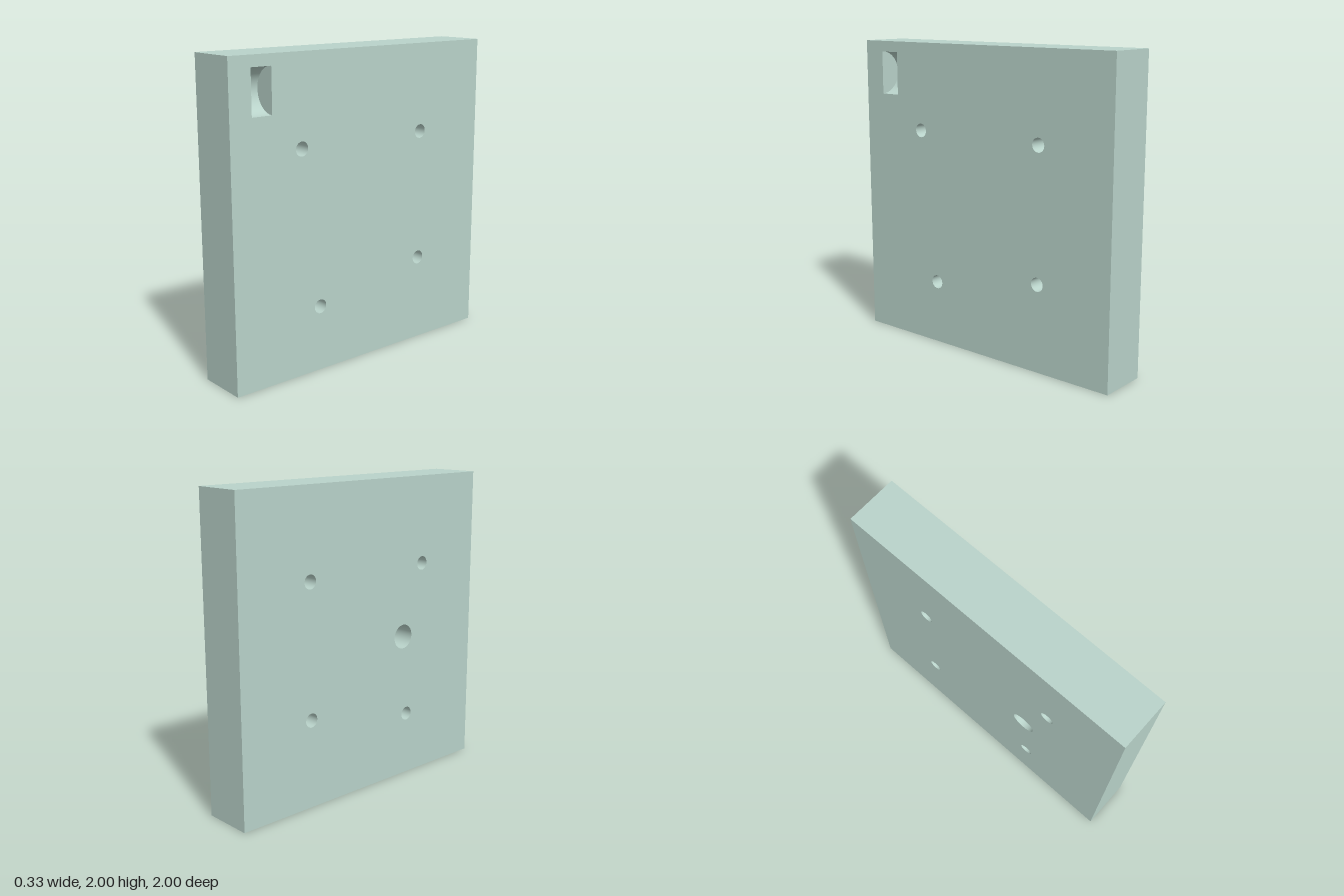
import * as THREE from 'three';

const T = 0.333;            // plate thickness
const HOLE_R = 0.045;
const HOLES = [[-0.5, 1.43], [0.47, 1.43], [0.47, 0.57], [-0.37, 0.42]];
const BORE = { x: -0.33, y: 0.96, r: 0.08, depth: 0.2 };
const SLOT = { x: -0.78, y: 1.79, r: 0.14, w: 0.14 };

export function createModel() {
  const color = 0xb9d3ca;
  const solid = new THREE.MeshStandardMaterial({ color });
  const lining = new THREE.MeshStandardMaterial({ color, side: THREE.DoubleSide });

  // The plate is drawn in the xy plane, then turned so its thickness runs along x
  const plate = new THREE.Group();
  plate.name = 'plate';
  plate.rotation.y = Math.PI / 2;

  const add = (name, geometry, material, x = 0, y = 0, z = 0) => {
    const mesh = new THREE.Mesh(geometry, material);
    mesh.name = name;
    mesh.position.set(x, y, z);
    plate.add(mesh);
    return mesh;
  };
  const rect = (Type, x0, y0, x1, y1) => new Type([
    new THREE.Vector2(x0, y0), new THREE.Vector2(x1, y0),
    new THREE.Vector2(x1, y1), new THREE.Vector2(x0, y1)]);
  const circle = (x, y, r) => new THREE.Path().absarc(x, y, r, 0, Math.PI * 2, true);
  const bolts = () => HOLES.map(([x, y]) => circle(x, y, HOLE_R));

  // Right face: bolt holes and slot opening
  const right = rect(THREE.Shape, -1, 0, 1, 2);
  right.holes.push(...bolts(), rect(THREE.Path,
    SLOT.x - SLOT.w / 2, SLOT.y - SLOT.r, SLOT.x + SLOT.w / 2, SLOT.y + SLOT.r));
  add('rightFace', new THREE.ShapeGeometry(right, 24), solid, 0, 0, T / 2);

  // Left face: bolt holes and larger blind bore, reversed to face outward
  const left = rect(THREE.Shape, -1, 0, 1, 2);
  left.holes.push(...bolts(), circle(BORE.x, BORE.y, BORE.r));
  const leftGeo = new THREE.ShapeGeometry(left, 24);
  leftGeo.setIndex(Array.from(leftGeo.index.array).reverse());
  leftGeo.computeVertexNormals();
  add('leftFace', leftGeo, solid, 0, 0, -T / 2);

  // Four outer edges as a square tube
  const rim = new THREE.CylinderGeometry(Math.SQRT2, Math.SQRT2, T, 4, 1, true, Math.PI / 4)
    .rotateX(Math.PI / 2).toNonIndexed();
  rim.computeVertexNormals();
  add('outerEdges', rim, solid, 0, 1, 0);

  // Walls of the through holes and of the blind bore
  const tube = (r, len) =>
    new THREE.CylinderGeometry(r, r, len, 48, 1, true).rotateX(Math.PI / 2);
  HOLES.forEach(([x, y]) => add('boltHole', tube(HOLE_R, T), lining, x, y));
  add('boreWall', tube(BORE.r, BORE.depth), lining, BORE.x, BORE.y, (BORE.depth - T) / 2);
  add('boreFloor', new THREE.CircleGeometry(BORE.r, 48), lining,
    BORE.x, BORE.y, BORE.depth - T / 2);

  // Half-round slot cut into the right face
  const trough = new THREE.CylinderGeometry(
    SLOT.r, SLOT.r, SLOT.w, 32, 1, true, Math.PI / 2, Math.PI).rotateZ(Math.PI / 2);
  add('slotWall', trough, lining, SLOT.x, SLOT.y, T / 2);
  for (const s of [-1, 1]) {
    const end = new THREE.CircleGeometry(SLOT.r, 32, Math.PI / 2, Math.PI).rotateY(-Math.PI / 2);
    add('slotEnd', end, lining, SLOT.x + s * SLOT.w / 2, SLOT.y, T / 2);
  }

  const model = new THREE.Group();
  model.name = 'mountingBlock';
  model.add(plate);
  return model;
}
